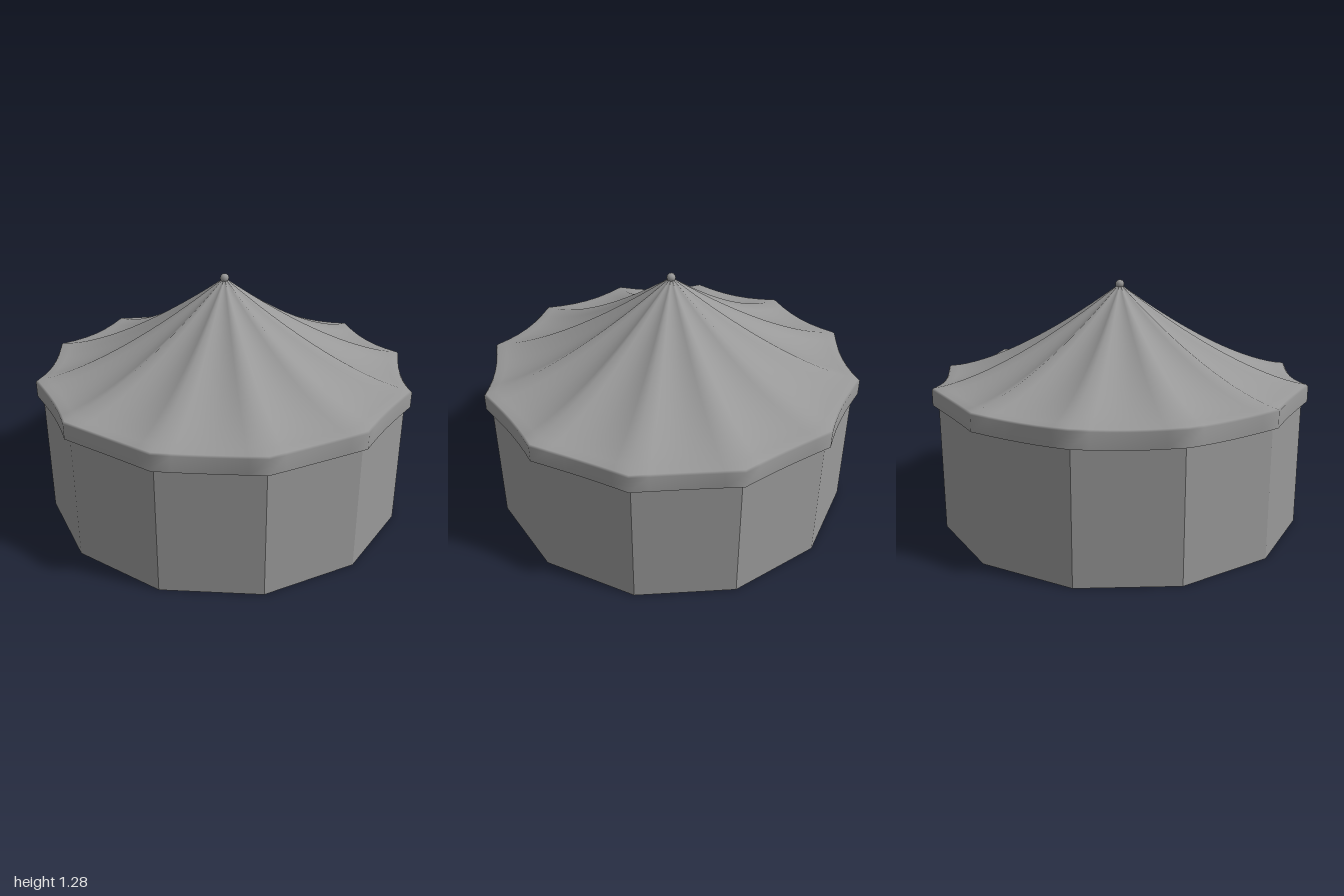
import * as THREE from 'three';

const SIDES = 12;
const SEGS = 6; // strips across one roof panel
const COLS = SIDES * SEGS;
const EAVE = 0.765, PEAK = 1.26;

const GREY = 0x999999;
const cloth = new THREE.MeshStandardMaterial({ color: GREY, side: THREE.DoubleSide });
const flatCloth = new THREE.MeshStandardMaterial({ color: GREY, side: THREE.DoubleSide, flatShading: true });
const solid = new THREE.MeshStandardMaterial({ color: GREY });

// Ring at radius t and height y: ridges at the corners, canvas sagging in between
function canvasRing(t, y) {
  const ring = [];
  for (let i = 0; i < COLS; i++) {
    const u = (i % SEGS) / SEGS;
    const dip = 4 * u * (1 - u);
    const r = t * (1 - 0.055 * dip);
    const a = (i / COLS) * Math.PI * 2;
    const sag = dip * (0.016 * t + 0.018 * Math.sin(Math.PI * t));
    ring.push(r * Math.sin(a), y - sag, r * Math.cos(a));
  }
  return ring;
}

// Smooth closed skin over a stack of rings, from the peak down
function skin(rings) {
  const index = [];
  for (let j = 0; j < rings.length - 1; j++)
    for (let i = 0; i < COLS; i++) {
      const a = j * COLS + i, b = j * COLS + ((i + 1) % COLS);
      index.push(a, a + COLS, b, b, a + COLS, b + COLS);
    }
  const geo = new THREE.BufferGeometry();
  geo.setAttribute('position', new THREE.Float32BufferAttribute(rings.flat(), 3));
  geo.setIndex(index);
  geo.computeVertexNormals();
  return geo;
}

export function createModel() {
  const group = new THREE.Group();
  const add = (name, geo, mat, y = 0) => {
    const mesh = new THREE.Mesh(geo, mat);
    mesh.name = name;
    mesh.position.y = y;
    group.add(mesh);
  };

  // Twelve-sided wall, open at top and bottom
  add('wall', new THREE.CylinderGeometry(0.97, 0.97, 0.72, SIDES, 1, true), flatCloth, 0.36);

  // Scalloped roof with a softened eave, running down into the valance
  const rows = 20;
  const rings = [];
  for (let j = 0; j <= rows; j++) {
    const t = 0.005 + (0.985 * j) / rows;
    rings.push(canvasRing(t, EAVE + (PEAK - EAVE) * Math.pow(1 - t, 1.48)));
  }
  rings.push(canvasRing(1, EAVE - 0.008), canvasRing(1, 0.675));
  add('roofAndValance', skin(rings), cloth);

  // Centre pole and its ball finial
  add('centrePole', new THREE.CylinderGeometry(0.019, 0.019, 1.25, 8), solid, 0.625);
  add('finial', new THREE.SphereGeometry(0.024, 8, 6), solid, 1.257);

  return group;
}
